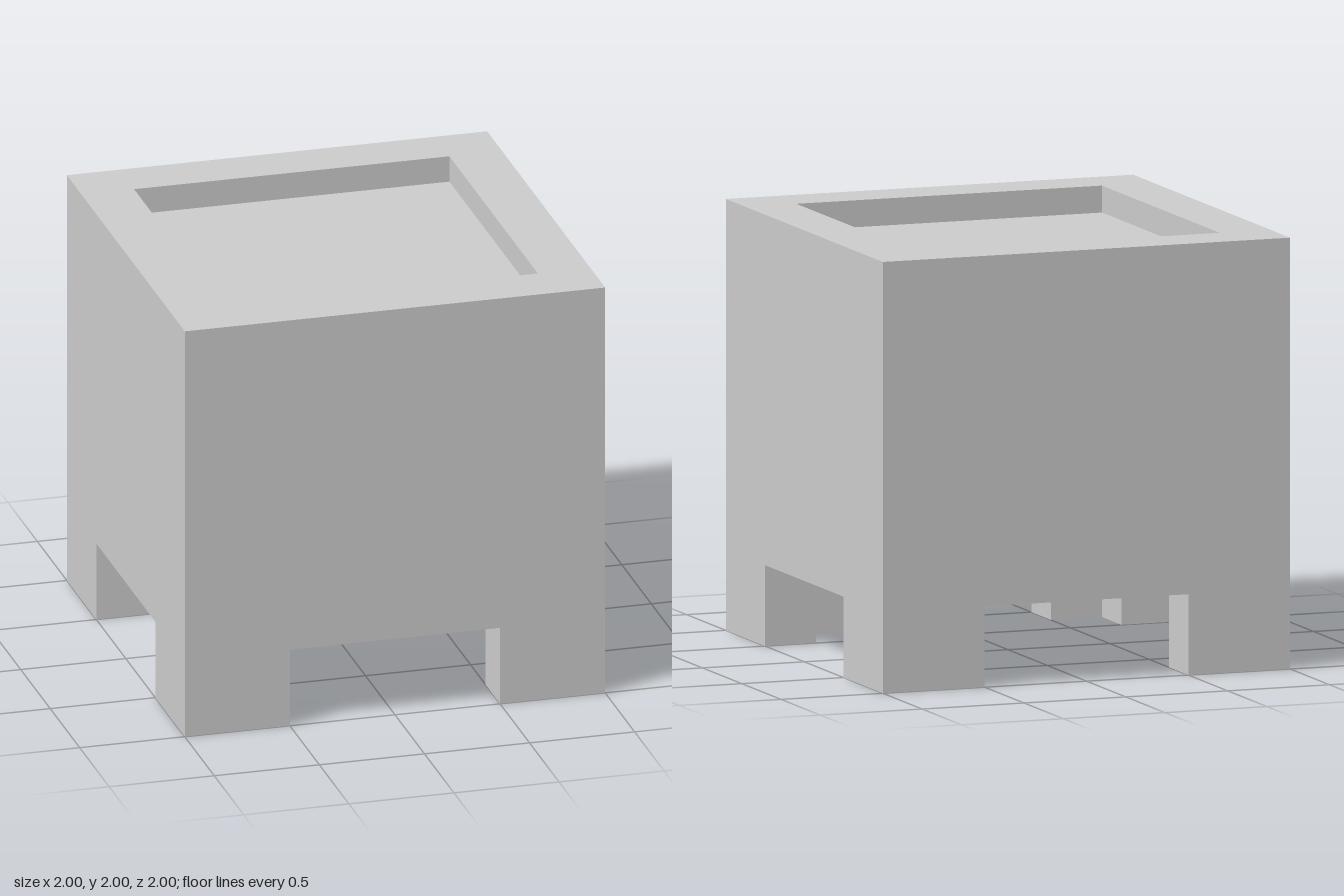
import * as THREE from 'three';

const LEG = 0.375;    // underside height
const WALL = 0.25;    // wall thickness
const FILL = 1.875;   // height of the sunken top surface

const poly = (pts) => pts.map(([x, y]) => new THREE.Vector2(x, y));
const square = (h) => poly([[-h, -h], [h, -h], [h, h], [-h, h]]);

// Extrude a plan outline upwards from y0 to y1
function prism(shape, y0, y1) {
  const geo = new THREE.ExtrudeGeometry(shape, { depth: y1 - y0, bevelEnabled: false });
  geo.rotateX(-Math.PI / 2);
  geo.translate(0, y0, 0);
  return geo;
}

export function createModel() {
  const model = new THREE.Group();
  model.name = 'squareTub';
  const gray = new THREE.MeshStandardMaterial({ color: 0xcccccc });
  gray.name = 'lightGray';

  const add = (name, geo) => {
    const mesh = new THREE.Mesh(geo, gray);
    mesh.name = name;
    model.add(mesh);
    return mesh;
  };

  // Four thick walls with an open middle
  const ring = new THREE.Shape(square(1));
  ring.holes.push(new THREE.Path(square(1 - WALL)));
  add('walls', prism(ring, LEG, 2));

  // Sunken top surface and underside closing the middle
  const inner = 2 * (1 - WALL);
  const top = add('fillSurface', new THREE.PlaneGeometry(inner, inner).rotateX(-Math.PI / 2));
  top.position.y = FILL;
  const bottom = add('underside', new THREE.PlaneGeometry(inner, inner).rotateX(Math.PI / 2));
  bottom.position.y = LEG;

  // L-shaped leg at each corner
  const i = 1 - WALL;
  const legGeo = prism(new THREE.Shape(poly([[1, 1], [0.5, 1], [0.5, i], [i, i], [i, 0.5], [1, 0.5]])), 0, LEG);
  ['backLeftLeg', 'backRightLeg', 'frontRightLeg', 'frontLeftLeg'].forEach((name, k) => {
    add(name, legGeo).rotation.y = k * Math.PI / 2;
  });

  return model;
}
